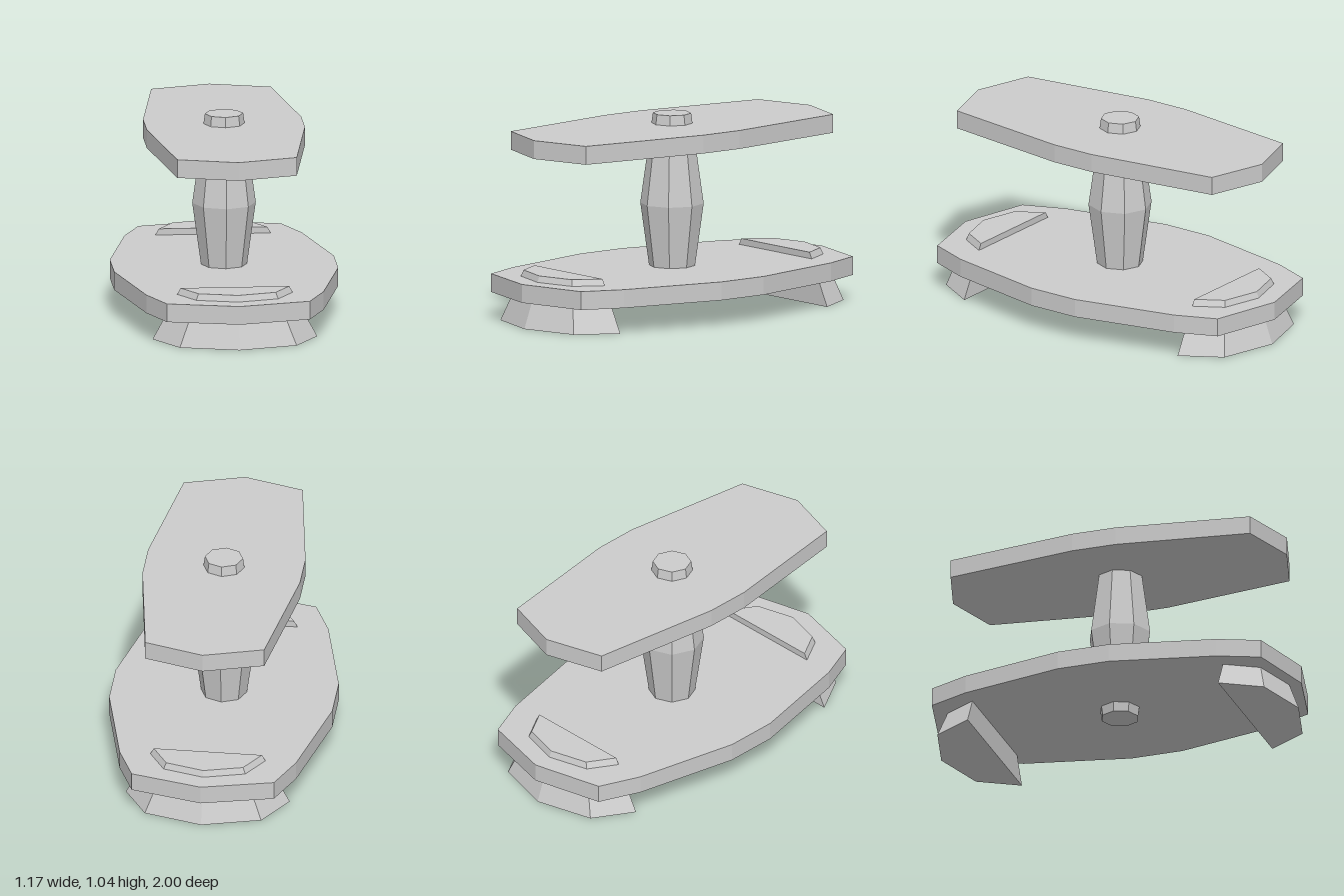
import * as THREE from 'three';

const material = new THREE.MeshStandardMaterial({ color: 0xcccccc, flatShading: true });

// Flat prism from a plan outline of [x, z] points, standing on y = bottom
function prism(outline, bottom, height) {
  const shape = new THREE.Shape(outline.map(([x, z]) => new THREE.Vector2(x, z)));
  const geometry = new THREE.ExtrudeGeometry(shape, { depth: height, bevelEnabled: false });
  geometry.rotateX(Math.PI / 2);
  geometry.translate(0, bottom + height, 0);
  return geometry;
}

// Closed plan outline mirrored in x and z from one quarter, whose first point lies on x = 0
function mirrorQuarter(quarter) {
  const right = [...quarter, ...quarter.slice().reverse().map(([x, z]) => [x, -z])];
  const left = right.slice(1, -1).reverse().map(([x, z]) => [-x, z]);
  return [...right, ...left];
}

function addMesh(group, name, geometry) {
  const mesh = new THREE.Mesh(geometry, material);
  mesh.name = name;
  group.add(mesh);
  return mesh;
}

// Foot that narrows upwards towards the middle of its flat inner face
function footGeometry() {
  const innerZ = 0.69, height = 0.27, topScale = 0.66;
  const outline = [[-0.43, innerZ], [0.43, innerZ], [0.305, 0.9], [0, 0.985], [-0.305, 0.9]];
  const geometry = prism(outline, 0, height);
  const p = geometry.attributes.position;
  for (let i = 0; i < p.count; i++) {
    const s = 1 + (topScale - 1) * p.getY(i) / height;
    p.setX(i, p.getX(i) * s);
    p.setZ(i, innerZ + (p.getZ(i) - innerZ) * s);
  }
  geometry.computeVertexNormals();
  return geometry;
}

export function createModel() {
  const model = new THREE.Group();
  model.name = 'pedestalTable';

  // Slabs
  const baseOutline = mirrorQuarter([[0, 1], [0.373, 0.907], [0.463, 0.69], [0.585, 0.14]]);
  addMesh(model, 'baseSlab', prism(baseOutline, 0.14, 0.097));
  const topOutline = mirrorQuarter([[0, 0.92], [0.312, 0.825], [0.413, 0.12]]);
  addMesh(model, 'tableTop', prism(topOutline, 0.89, 0.097));

  // Octagonal column, widest at mid height, passing through both slabs
  const yLow = 0.09, yMid = 0.565, yHigh = 1.04;
  const profile = [[0, yLow], [0.1, yLow], [0.166, yMid], [0.1, yHigh], [0, yHigh]];
  const column = new THREE.LatheGeometry(profile.map(([r, y]) => new THREE.Vector2(r, y)), 8);
  addMesh(model, 'column', column);

  // Front and back feet
  const foot = footGeometry();
  addMesh(model, 'frontFoot', foot);
  addMesh(model, 'backFoot', foot).rotation.y = Math.PI;

  return model;
}
